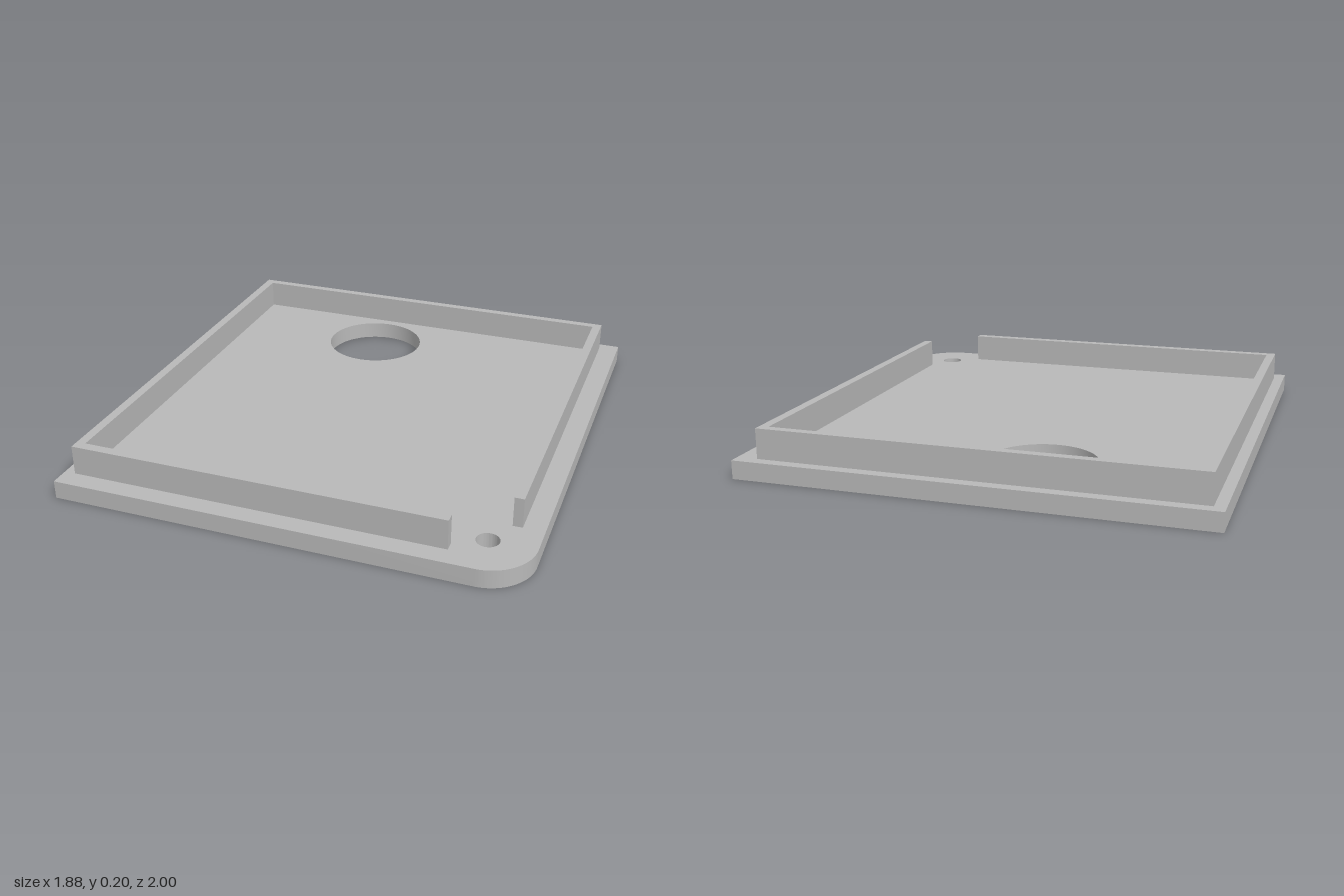
import * as THREE from 'three';
import { toCreasedNormals } from 'three/addons/utils/BufferGeometryUtils.js';

const PLATE_TOP = 0.075;
const LIP_TOP = 0.197;

// Extrude a plan drawn with (x, -z) upward from y = base
function slab(name, shape, base, top, material) {
  const geo = new THREE.ExtrudeGeometry(shape, { depth: top - base, bevelEnabled: false, curveSegments: 32 });
  geo.rotateX(-Math.PI / 2);
  geo.translate(0, base, 0);
  const mesh = new THREE.Mesh(toCreasedNormals(geo, 0.6), material);
  mesh.name = name;
  return mesh;
}

function roundHole(x, z, r) {
  return new THREE.Path().absarc(x, -z, r, 0, Math.PI * 2, true);
}

export function createModel() {
  const group = new THREE.Group();
  group.name = 'coverPlate';
  const grey = new THREE.MeshStandardMaterial({ color: 0xb8b8b8 });
  grey.name = 'grey';

  // Base plate with one rounded corner and two through holes
  const w = 0.94, d = 1, r = 0.187;
  const plate = new THREE.Shape();
  plate.moveTo(-w, -d);
  plate.lineTo(w - r, -d);
  plate.absarc(w - r, -d + r, r, -Math.PI / 2, 0, false);
  plate.lineTo(w, d);
  plate.lineTo(-w, d);
  plate.closePath();
  plate.holes.push(roundHole(-0.196, -0.662, 0.219), roundHole(0.755, 0.815, 0.045));
  group.add(slab('basePlate', plate, 0, PLATE_TOP, grey));

  // Raised rim, open at the rounded corner; points are (x, z)
  const rim = [
    [0.635, 0.92], [0.635, 0.88], [-0.857, 0.88], [-0.857, -0.92], [0.817, -0.92],
    [0.817, 0.695], [0.855, 0.695], [0.855, -0.955], [-0.895, -0.955], [-0.895, 0.92],
  ].map(([x, z]) => new THREE.Vector2(x, -z));
  group.add(slab('raisedRim', new THREE.Shape(rim), PLATE_TOP, LIP_TOP, grey));

  return group;
}
